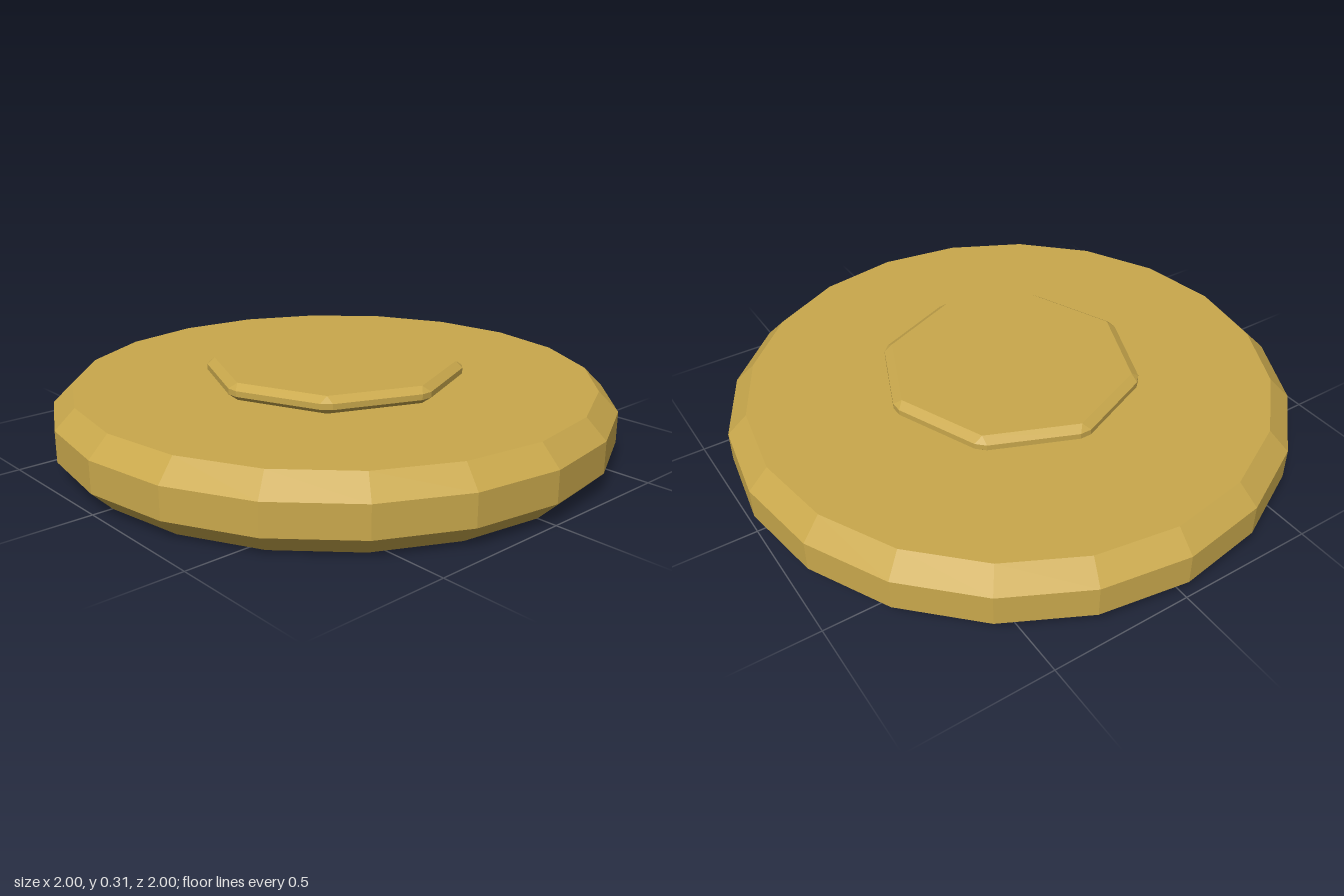
import * as THREE from 'three';
import { ConvexGeometry } from 'three/addons/geometries/ConvexGeometry.js';

export function createModel() {
  const gold = new THREE.MeshStandardMaterial({ color: 0xc9a84c });
  gold.name = 'gold';
  const model = new THREE.Group();
  model.name = 'coin';

  const polar = (radius, angle, y) =>
    new THREE.Vector3(radius * Math.cos(angle), y, radius * Math.sin(angle));

  // Twenty-sided disc with chamfered rims
  const profile = [[0, 0], [0.93, 0], [1, 0.07], [1, 0.18], [0.93, 0.25], [0, 0.25]];
  const discGeometry = new THREE.LatheGeometry(
    profile.map(([r, y]) => new THREE.Vector2(r, y)), 20).toNonIndexed();
  discGeometry.computeVertexNormals();
  const disc = new THREE.Mesh(discGeometry, gold);
  disc.name = 'disc';
  model.add(disc);

  // Raised octagon: sharp top and bottom outlines, clipped corners at its widest
  const points = [];
  for (let i = 0; i < 8; i++) {
    const a = i * Math.PI / 4;
    points.push(polar(0.435, a, 0.25), polar(0.435, a, 0.31));
    for (const turn of [-0.045, 0.045])
      for (const y of [0.27, 0.29]) points.push(polar(0.458, a + turn, y));
  }
  const octagon = new THREE.Mesh(new ConvexGeometry(points), gold);
  octagon.name = 'raisedOctagon';
  model.add(octagon);

  return model;
}
